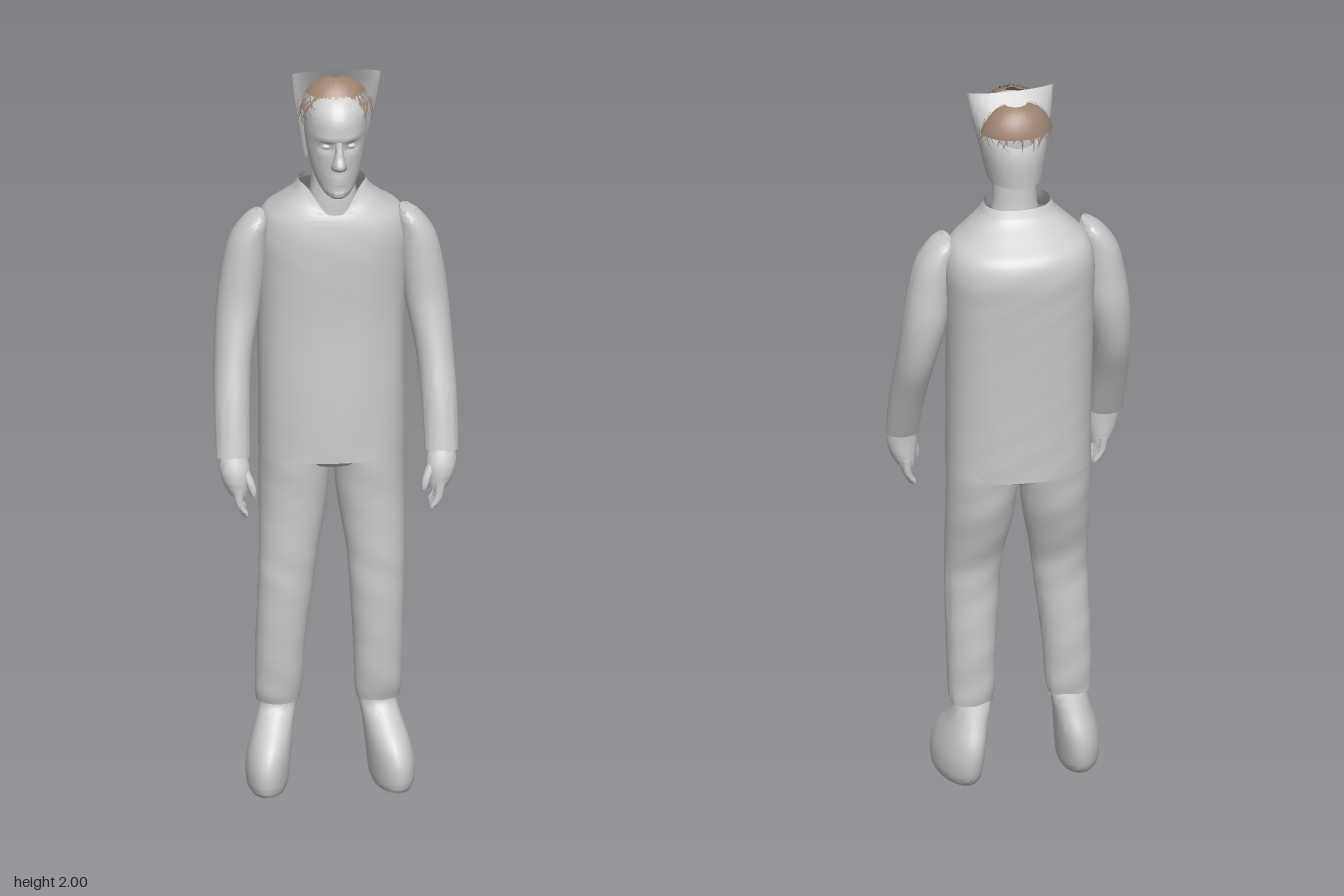
import * as THREE from 'three';
import { mergeGeometries, toCreasedNormals } from 'three/addons/utils/BufferGeometryUtils.js';

const grey = new THREE.MeshStandardMaterial({ color: 0xcccccc, side: THREE.DoubleSide });
grey.name = 'light grey';
const brown = new THREE.MeshStandardMaterial({ color: 0x9c8270, side: THREE.DoubleSide });
brown.name = 'hair brown';

// Smooth loft through horizontal rings [x, y, z, rx, rz], listed from bottom to top
function loft(rings, { sides = 32, steps = 4, caps = true, arc = [0, Math.PI * 2], power = 1, bend } = {}) {
  const centres = new THREE.CatmullRomCurve3(rings.map(r => new THREE.Vector3(r[0], r[1], r[2])), false, 'catmullrom');
  const radii = new THREE.CatmullRomCurve3(rings.map(r => new THREE.Vector3(r[3], 0, r[4])), false, 'catmullrom');
  const levels = (rings.length - 1) * steps, pos = [], index = [];
  const round = v => Math.sign(v) * Math.abs(v) ** power;
  for (let j = 0; j <= levels; j++) {
    const c = centres.getPoint(j / levels), r = radii.getPoint(j / levels);
    for (let i = 0; i <= sides; i++) {
      const a = arc[0] + (arc[1] - arc[0]) * i / sides;
      const p = new THREE.Vector3(c.x + r.x * round(Math.cos(a)), c.y, c.z + r.z * round(Math.sin(a)));
      if (bend) bend(p, j / levels, a);
      pos.push(p.x, p.y, p.z);
    }
  }
  const w = sides + 1;
  for (let j = 0; j < levels; j++) {
    for (let i = 0; i < sides; i++) {
      const a = j * w + i;
      index.push(a, a + w, a + 1, a + 1, a + w, a + w + 1);
    }
  }
  if (caps) {
    const b = pos.length / 3, first = rings[0], last = rings[rings.length - 1], t = levels * w;
    pos.push(first[0], first[1], first[2], last[0], last[1], last[2]);
    for (let i = 0; i < sides; i++) index.push(b, i, i + 1, b + 1, t + i + 1, t + i);
  }
  const g = new THREE.BufferGeometry();
  g.setAttribute('position', new THREE.Float32BufferAttribute(pos, 3));
  g.setIndex(index);
  return toCreasedNormals(g, 0.9);
}

function add(parent, name, geometry, material = grey) {
  const mesh = new THREE.Mesh(geometry, material);
  mesh.name = name;
  parent.add(mesh);
  return mesh;
}

// Hair: a thin cap plus crossing curved strands on part of an ellipsoid
function hairPatch(centre, radius, phi0, capTheta, thetaRange, count, seed) {
  const random = () => (seed = (seed * 16807) % 2147483647) / 2147483647;
  const at = (phi, theta, k) => [
    -Math.cos(phi) * Math.sin(theta) * radius[0] * k + centre[0],
    Math.min(Math.cos(theta) * radius[1] * k + centre[1], 2),
    Math.sin(phi) * Math.sin(theta) * radius[2] * k + centre[2]];
  const cap = new THREE.SphereGeometry(1, 24, 8, phi0, Math.PI, capTheta[0], capTheta[1] - capTheta[0]);
  cap.scale(...radius).translate(...centre);
  cap.deleteAttribute('uv');
  const pos = [], index = [];
  for (let n = 0; n < count; n++) {
    const phi = phi0 + 0.1 + random() * (Math.PI - 0.2);
    const theta = thetaRange[0] + random() * (thetaRange[1] - thetaRange[0]);
    const turn = (random() - 0.5) * 1.8, length = 0.3 + random() * 0.35, lift = 1 + random() * 0.06;
    const base = pos.length / 3;
    for (let i = 0; i <= 4; i++) {
      const u = (i / 4 - 0.5) * length, half = 0.035 * (1 - i / 5);
      const p = phi + u * Math.sin(turn), t = theta + u * Math.cos(turn);
      pos.push(...at(p - half, t, lift), ...at(p + half, t + half * 0.4, lift));
      if (i < 4) {
        const a = base + i * 2;
        index.push(a, a + 2, a + 1, a + 1, a + 2, a + 3);
      }
    }
  }
  const strands = new THREE.BufferGeometry();
  strands.setAttribute('position', new THREE.Float32BufferAttribute(pos, 3));
  strands.setIndex(index);
  strands.computeVertexNormals();
  return mergeGeometries([cap, strands]);
}

export function createModel() {
  const model = new THREE.Group();
  model.name = 'standing figure';

  // Sleeveless top with a dipped neckline and slightly wrinkled cloth
  add(model, 'torso', loft([
    [0, 0.93, -0.015, 0.192, 0.143], [0, 1.1, -0.02, 0.192, 0.145], [0, 1.3, -0.03, 0.194, 0.147],
    [0.003, 1.45, -0.035, 0.198, 0.154], [0.005, 1.53, -0.038, 0.2, 0.156], [0.004, 1.585, -0.035, 0.185, 0.146],
    [0, 1.62, -0.02, 0.148, 0.12], [0, 1.66, -0.006, 0.106, 0.082], [0, 1.69, -0.004, 0.088, 0.066],
  ], {
    sides: 48, steps: 5, caps: false, power: 0.88, bend(p, t, a) {
      const dip = Math.max(0, Math.sin(a)) ** 5 * THREE.MathUtils.smoothstep(t, 0.72, 1);
      p.y -= dip * 0.075;
      p.z += dip * 0.035;
      p.z += 0.002 * Math.sin(p.x * 45 + p.y * 30) * Math.sin(p.y * 38 - p.x * 12) * (1 - t);
    },
  }));
  add(model, 'hips', loft([
    [0, 0.9, -0.015, 0.1, 0.09], [0, 0.94, -0.015, 0.178, 0.13], [0, 1, -0.015, 0.18, 0.13],
  ]));

  // Arms, hands, legs and feet
  for (const s of [1, -1]) {
    const side = s > 0 ? 'left' : 'right';
    const mirror = rings => rings.map(([x, ...r]) => [x * s, ...r]);
    add(model, side + 'Arm', loft(mirror([
      [0.275, 0.97, 0.138, 0.044, 0.036], [0.273, 1.1, 0.09, 0.047, 0.054], [0.265, 1.22, 0.04, 0.05, 0.067],
      [0.248, 1.35, 0.008, 0.058, 0.068], [0.235, 1.45, 0.004, 0.057, 0.065], [0.222, 1.53, 0.003, 0.05, 0.062],
      [0.204, 1.58, 0.003, 0.034, 0.055], [0.195, 1.6, 0.003, 0.016, 0.04],
    ])));

    const hand = new THREE.Group();
    hand.name = side + 'Hand';
    model.add(hand);
    add(hand, 'palm', loft(mirror([
      [0.262, 0.87, 0.155, 0.024, 0.033], [0.268, 0.9, 0.156, 0.034, 0.037],
      [0.272, 0.94, 0.153, 0.04, 0.035], [0.275, 0.99, 0.14, 0.032, 0.026],
    ]), { sides: 20 }));
    for (let f = 0; f < 4; f++) {
      const z = 0.127 + f * 0.019, tip = 0.802 + Math.abs(f - 1.5) * 0.008;
      add(hand, 'finger', loft(mirror([
        [0.243, tip, z + 0.003, 0.004, 0.004], [0.248, tip + 0.012, z + 0.003, 0.009, 0.009],
        [0.262, 0.85, z + 0.002, 0.011, 0.01], [0.266, 0.89, z, 0.014, 0.011],
      ]), { sides: 10, steps: 3 }));
    }
    add(hand, 'thumb', loft(mirror([
      [0.224, 0.865, 0.182, 0.005, 0.005], [0.226, 0.88, 0.181, 0.01, 0.01],
      [0.235, 0.91, 0.175, 0.012, 0.012], [0.252, 0.945, 0.16, 0.014, 0.014],
    ]), { sides: 10, steps: 3 }));

    const lean = p => { p.x -= 0.012 * (1 - THREE.MathUtils.smoothstep(p.y, 0.2, 0.8)); };
    add(model, side + 'Leg', loft(mirror([
      [0.132, 0.225, 0.01, 0.057, 0.045], [0.131, 0.27, 0.014, 0.062, 0.054], [0.128, 0.4, 0.016, 0.066, 0.065],
      [0.12, 0.56, 0.02, 0.073, 0.068], [0.115, 0.65, 0.015, 0.077, 0.074], [0.102, 0.8, -0.01, 0.09, 0.1],
      [0.097, 0.93, -0.018, 0.093, 0.116], [0.095, 1, -0.018, 0.09, 0.115],
    ]), {
      bend(p) {
        lean(p);
        p.z += 0.002 * Math.sin(p.y * 55 + p.x * 30);
      },
    }));
    add(model, side + 'Foot', loft(mirror([
      [0.161, 0, 0.055, 0.048, 0.1], [0.162, 0.02, 0.05, 0.056, 0.115], [0.16, 0.07, 0.044, 0.059, 0.122],
      [0.153, 0.12, 0.034, 0.056, 0.11], [0.143, 0.17, 0.018, 0.051, 0.074],
      [0.135, 0.21, 0.006, 0.049, 0.047], [0.132, 0.245, 0.01, 0.047, 0.038],
    ]), {
      bend(p) {
        lean(p);
        p.x += s * 0.1 * (p.z - 0.04);
      },
    }));
  }

  // Neck and face
  add(model, 'neck', loft([
    [0, 1.56, 0.02, 0.075, 0.06], [0, 1.65, 0.022, 0.063, 0.055],
    [0, 1.7, 0.022, 0.058, 0.05], [0, 1.78, 0.025, 0.058, 0.05],
  ]));
  const head = new THREE.Group();
  head.name = 'head';
  head.position.x = 0.004;
  model.add(head);
  add(head, 'face', loft([
    [0, 1.682, 0.105, 0.022, 0.025], [0, 1.695, 0.093, 0.038, 0.047], [0, 1.73, 0.067, 0.058, 0.075],
    [0, 1.78, 0.052, 0.072, 0.094], [0, 1.83, 0.046, 0.08, 0.103], [0, 1.88, 0.045, 0.083, 0.11],
    [0, 1.92, 0.043, 0.08, 0.1], [0, 1.955, 0.04, 0.06, 0.07], [0, 1.965, 0.04, 0.03, 0.035],
  ], {
    sides: 56, steps: 6, bend(p, t, a) {
      if (Math.sin(a) < 0) return;
      const spot = (x, y, w, h) => Math.exp(-(((Math.abs(p.x) - x) / w) ** 2) - ((p.y - y) / h) ** 2);
      p.z += 0.006 * spot(0.03, 1.857, 0.03, 0.009) - 0.011 * spot(0.032, 1.832, 0.018, 0.013);
      p.z += 0.006 * spot(0, 1.742, 0.022, 0.006) + 0.006 * spot(0, 1.726, 0.02, 0.006);
      p.z += 0.006 * spot(0, 1.695, 0.02, 0.012) - 0.003 * spot(0, 1.734, 0.025, 0.003);
    },
  }));
  add(head, 'nose', loft([
    [0, 1.765, 0.136, 0.013, 0.014], [0, 1.774, 0.142, 0.021, 0.028], [0, 1.788, 0.146, 0.019, 0.037],
    [0, 1.815, 0.145, 0.012, 0.024], [0, 1.85, 0.144, 0.009, 0.012],
  ], { sides: 16 }));
  for (const s of [1, -1]) {
    add(head, 'eye', new THREE.SphereGeometry(0.012, 16, 10).scale(1.1, 0.65, 0.8)).position.set(s * 0.032, 1.832, 0.13);
  }

  // Open shell at the back of the head, flaring up to a flat crescent rim
  add(model, 'headBack', loft([
    [0, 1.75, 0.03, 0.072, 0.098], [0.003, 1.85, 0.035, 0.092, 0.105],
    [0.006, 1.93, 0.036, 0.108, 0.066], [0.008, 2, 0.037, 0.117, 0.023],
  ], { caps: false, arc: [Math.PI, Math.PI * 2] }));

  // Front fringe and back hair
  add(model, 'frontHair', hairPatch([0.005, 1.885, 0.038], [0.1, 0.11, 0.085], 0, [0.15, 0.9], [0.5, 1.45], 110, 71), brown);
  add(model, 'backHair', hairPatch([0.003, 1.88, -0.005], [0.098, 0.098, 0.078], Math.PI, [0.3, 1.35], [0.6, 1.5], 100, 37), brown);
  return model;
}
